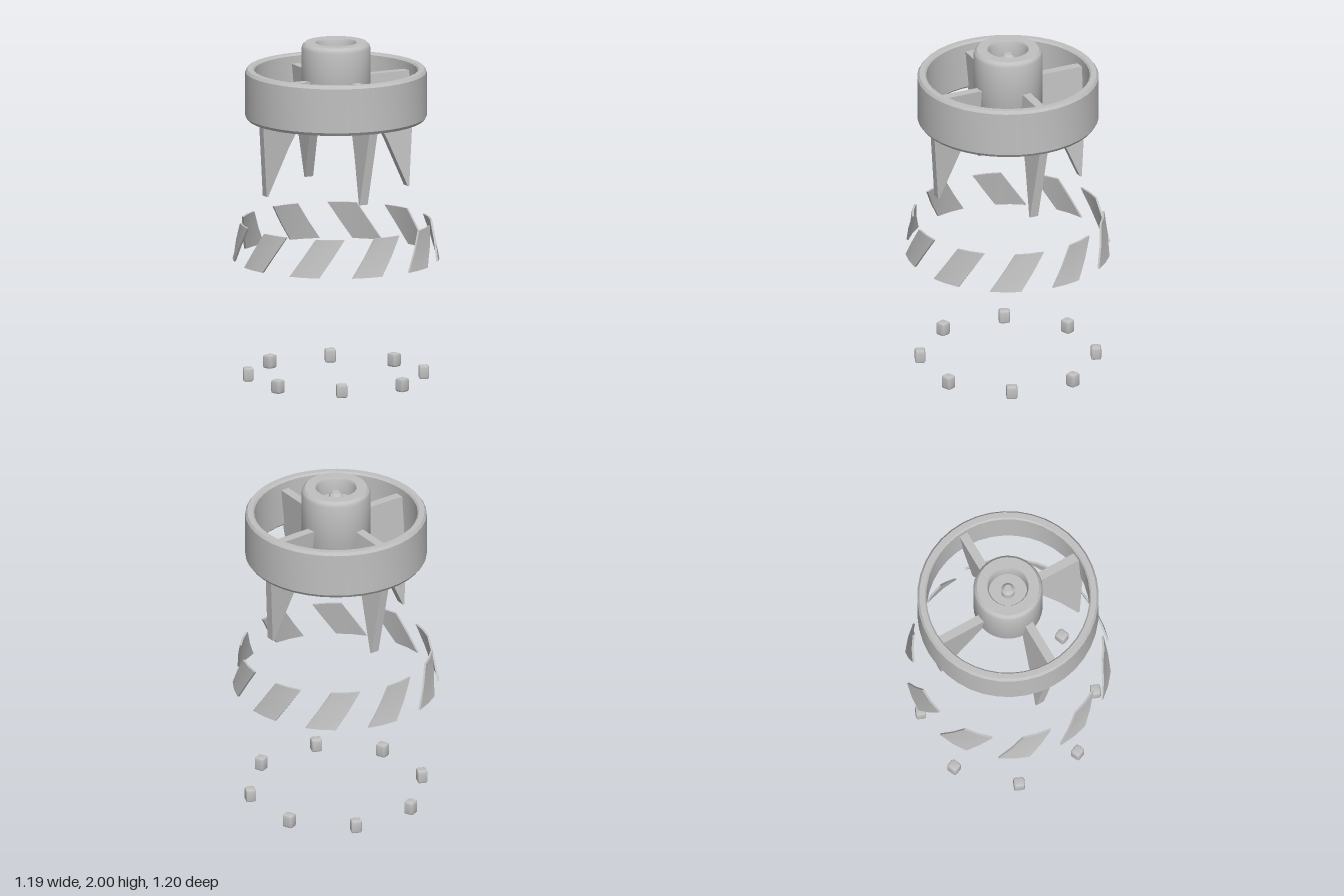
import * as THREE from 'three';
import { toCreasedNormals } from 'three/addons/utils/BufferGeometryUtils.js';
import { RoundedBoxGeometry } from 'three/addons/geometries/RoundedBoxGeometry.js';

export function createModel() {
  const model = new THREE.Group();
  const grey = new THREE.MeshStandardMaterial({ color: 0xc0c0c0 });
  grey.name = 'light grey';

  const add = (name, geometry, parent = model) => {
    const mesh = new THREE.Mesh(geometry, grey);
    mesh.name = name;
    parent.add(mesh);
    return mesh;
  };
  const lathe = (points, sides) =>
    toCreasedNormals(new THREE.LatheGeometry(points.map(([r, y]) => new THREE.Vector2(r, y)), sides), 0.5);

  // Outer ring with bevelled rims
  add('ring', lathe([
    [0.474, 1.562], [0.485, 1.55], [0.515, 1.55], [0.527, 1.568], [0.527, 1.828], [0.515, 1.845],
    [0.483, 1.845], [0.474, 1.835], [0.474, 1.562],
  ], 40));

  // Hub with a recessed top
  add('hub', lathe([
    [0, 1.65], [0.195, 1.65], [0.2, 1.66], [0.2, 1.968], [0.195, 1.985], [0.18, 2],
    [0.12, 2], [0.113, 1.985], [0.113, 1.9], [0, 1.9],
  ], 40));

  // Small pin in the recess
  add('centrePin', lathe([[0.04, 1.89], [0.04, 1.95], [0.022, 1.97], [0, 1.97]], 12));

  // Tapered legs joining hub and ring, leaning sideways towards the tip
  const thickness = 0.052;
  const outline = [
    [0.18, 1.79], [0.19, 1.65], [0.315, 1.4], [0.432, 1.12], [0.442, 1.12], [0.487, 1.56], [0.487, 1.79],
  ];
  const legShape = new THREE.Shape(outline.map(([r, y]) => new THREE.Vector2(r, y)));
  const legGeometry = new THREE.ExtrudeGeometry(legShape, { depth: thickness, bevelEnabled: false });
  const lp = legGeometry.attributes.position;
  for (let i = 0; i < lp.count; i++) {
    lp.setZ(i, lp.getZ(i) - thickness / 2 - 0.028 + (1.79 - lp.getY(i)) * 0.1);
  }
  legGeometry.computeVertexNormals();
  const legs = new THREE.Group();
  legs.name = 'legs';
  model.add(legs);
  for (let i = 0; i < 4; i++) {
    add('leg', legGeometry, legs).rotation.y = -Math.PI / 4 + i * Math.PI / 2;
  }

  // Slanted blades: a thin box wrapped round a cone
  const deg = Math.PI / 180;
  let bladeGeometry = new THREE.BoxGeometry(1, 1, 1, 2, 2, 1);
  const bp = bladeGeometry.attributes.position;
  for (let i = 0; i < bp.count; i++) {
    const v = bp.getY(i) + 0.5;
    const phi = (7.9 + bp.getX(i) * 17.5 + (v - 0.5) * 14.5) * deg;
    const r = 0.6 - 0.04 * v - (0.5 - bp.getZ(i)) * 0.012;
    bp.setXYZ(i, r * Math.sin(phi), 0.72 + 0.22 * v, r * Math.cos(phi));
  }
  bladeGeometry = toCreasedNormals(bladeGeometry, 0.5);
  const blades = new THREE.Group();
  blades.name = 'blades';
  model.add(blades);
  for (let i = 0; i < 10; i++) {
    add('blade', bladeGeometry, blades).rotation.y = i * Math.PI / 5;
  }

  // Small bevelled blocks in a circle at the base
  const blockGeometry = toCreasedNormals(new RoundedBoxGeometry(0.064, 0.08, 0.06, 1, 0.012), 0.4);
  blockGeometry.translate(0, 0.04, 0.511);
  const blocks = new THREE.Group();
  blocks.name = 'blocks';
  model.add(blocks);
  for (let i = 0; i < 8; i++) {
    add('block', blockGeometry, blocks).rotation.y = Math.PI / 8 + i * Math.PI / 4;
  }

  return model;
}
